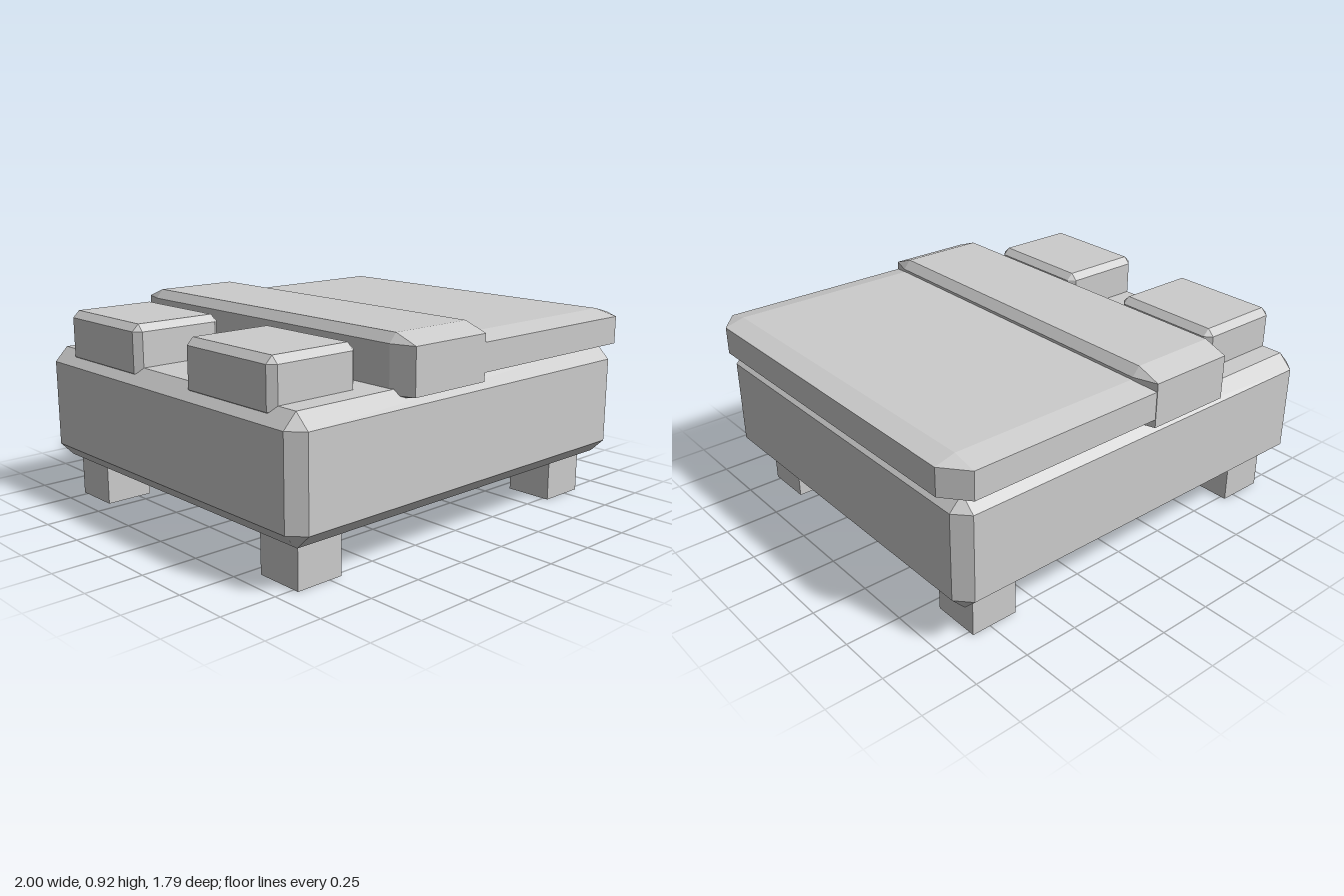
import * as THREE from 'three';
import { ConvexGeometry } from 'three/addons/geometries/ConvexGeometry.js';

const material = new THREE.MeshStandardMaterial({ color: 0xcccccc, flatShading: true });

// Box with flat chamfers: min and max corners, bevel size per axis, optional own bevel height at the bottom
function chamferBox(name, min, max, [bx, by, bz], byBottom = by) {
  const points = [];
  for (const sx of [0, 1]) for (const sy of [0, 1]) for (const sz of [0, 1]) {
    const x = sx ? max[0] : min[0], y = sy ? max[1] : min[1], z = sz ? max[2] : min[2];
    const ix = sx ? x - bx : x + bx;
    const iy = sy ? y - by : y + byBottom;
    const iz = sz ? z - bz : z + bz;
    points.push(
      new THREE.Vector3(x, iy, iz),
      new THREE.Vector3(ix, y, iz),
      new THREE.Vector3(ix, iy, z)
    );
  }
  const mesh = new THREE.Mesh(new ConvexGeometry(points), material);
  mesh.name = name;
  return mesh;
}

export function createModel() {
  const bed = new THREE.Group();
  bed.name = 'bed';

  // Thick mattress
  bed.add(chamferBox('mattress', [-1, 0.19, -0.873], [0.96, 0.705, 0.873], [0.06, 0.063, 0.065]));

  // Blanket, with its head end tucked inside the folded band
  bed.add(chamferBox('blanket', [-0.3, 0.693, -0.894], [1, 0.868, 0.894], [0.09, 0.025, 0.11]));
  bed.add(chamferBox('blanketFold', [-0.455, 0.665, -0.896], [0.018, 0.92, 0.896], [0.034, 0.04, 0.107], 0.016));

  // Pillows and legs, mirrored front to back
  for (const side of [1, -1]) {
    const pillow = chamferBox('pillow', [-0.97, 0.65, -0.272], [-0.54, 0.887, 0.272], [0.03, 0.03, 0.03]);
    pillow.position.z = side * 0.437;
    bed.add(pillow);

    for (const x of [-0.8, 0.727]) {
      const leg = new THREE.Mesh(new THREE.BoxGeometry(0.22, 0.22, 0.22), material);
      leg.name = 'leg';
      leg.position.set(x, 0.11, side * 0.665);
      bed.add(leg);
    }
  }
  return bed;
}
